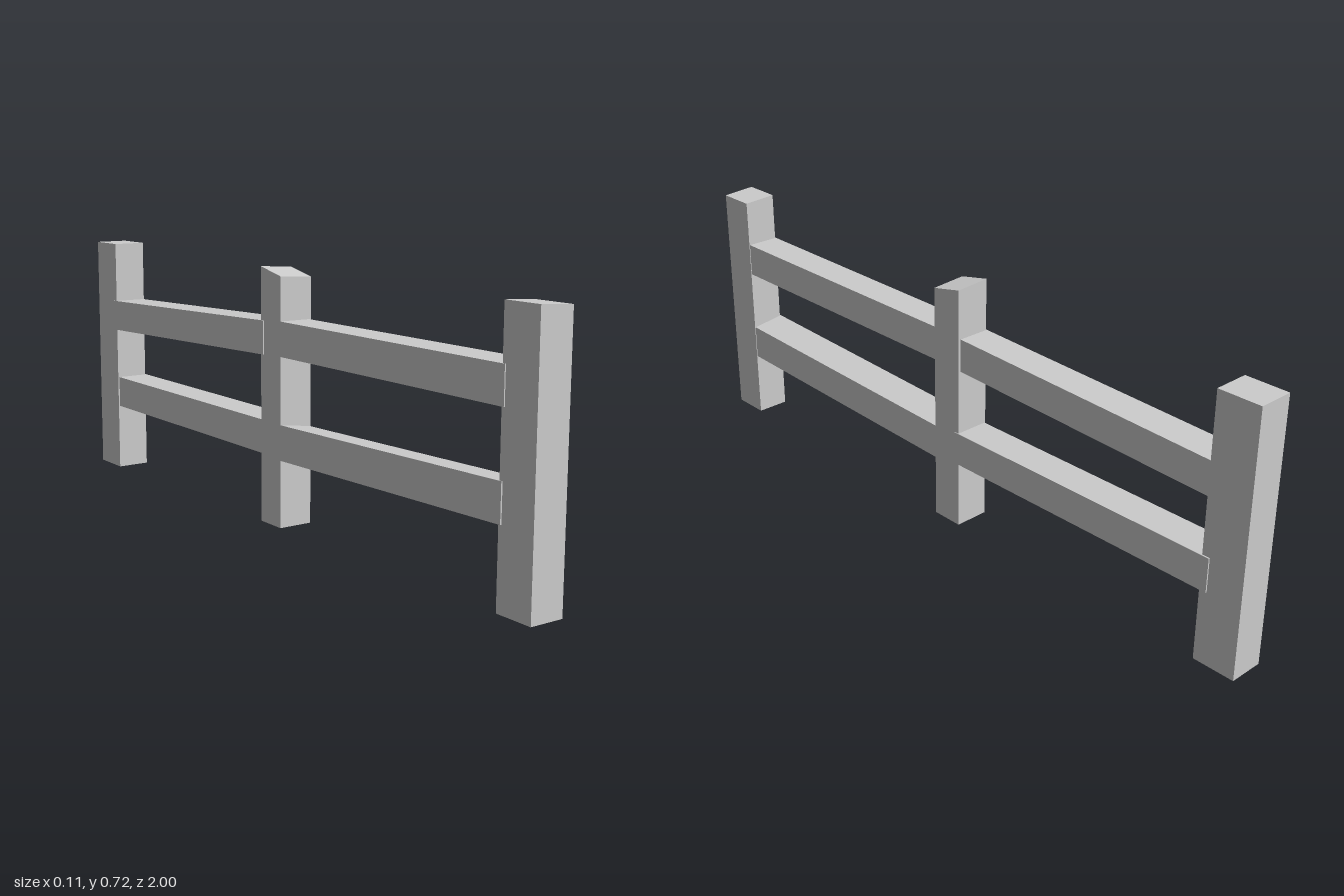
import * as THREE from 'three';

const material = new THREE.MeshStandardMaterial({ color: 0xcccccc, flatShading: true });

// Unit box whose corners are moved by a rule; u, v, w are 0 or 1 along x, y, z
function warpedBox(name, rule) {
  const geometry = new THREE.BoxGeometry(1, 1, 1);
  const p = geometry.attributes.position;
  for (let i = 0; i < p.count; i++) {
    p.setXYZ(i, ...rule(p.getX(i) + 0.5, p.getY(i) + 0.5, p.getZ(i) + 0.5));
  }
  geometry.computeVertexNormals();
  const mesh = new THREE.Mesh(geometry, material);
  mesh.name = name;
  return mesh;
}

const mix = THREE.MathUtils.lerp;

// Upright post; the top slopes from topBack to topFront and gains tilt towards +x
function post(name, { x, z, topBack, topFront, bottom = 0, tilt = 0 }) {
  return warpedBox(name, (u, v, w) => [
    mix(x[0], x[1], u),
    v ? mix(topBack, topFront, w) + tilt * (u - 0.5) : bottom,
    mix(z[0], z[1], w),
  ]);
}

// Rail between two ends, each { z, x: [min, max], y: [min, max] }; roll lowers the +x side
function rail(name, back, front, roll = 0) {
  return warpedBox(name, (u, v, w) => {
    const end = w ? front : back;
    return [
      mix(end.x[0], end.x[1], u),
      mix(end.y[0], end.y[1], v) - roll * (u - 0.5),
      end.z,
    ];
  });
}

export function createModel() {
  const group = new THREE.Group();
  group.name = 'fence';

  // Three uneven posts
  group.add(
    post('frontPost', { x: [-0.048, 0.048], z: [0.89, 1], topBack: 0.705, topFront: 0.705, bottom: 0.005, tilt: -0.006 }),
    post('middlePost', { x: [-0.047, 0.052], z: [-0.055, 0.038], topBack: 0.707, topFront: 0.687, bottom: 0.004, tilt: -0.006 }),
    post('backPost', { x: [-0.052, 0.046], z: [-0.998, -0.878], topBack: 0.72, topFront: 0.72 }),
  );

  // Slightly skewed rails, let into the posts
  group.add(
    rail('upperFrontRail',
      { z: 0.03, x: [-0.047, 0.046], y: [0.475, 0.57] },
      { z: 0.9, x: [-0.051, 0.046], y: [0.475, 0.57] }),
    rail('upperBackRail',
      { z: -0.9, x: [-0.054, 0.044], y: [0.447, 0.539] },
      { z: -0.04, x: [-0.05, 0.044], y: [0.472, 0.565] }),
    rail('lowerFrontRail',
      { z: 0.03, x: [-0.047, 0.049], y: [0.185, 0.283] },
      { z: 0.9, x: [-0.052, 0.046], y: [0.205, 0.304] }, 0.013),
    rail('lowerBackRail',
      { z: -0.9, x: [-0.048, 0.05], y: [0.2, 0.294] },
      { z: -0.04, x: [-0.044, 0.054], y: [0.196, 0.29] }),
  );
  return group;
}
